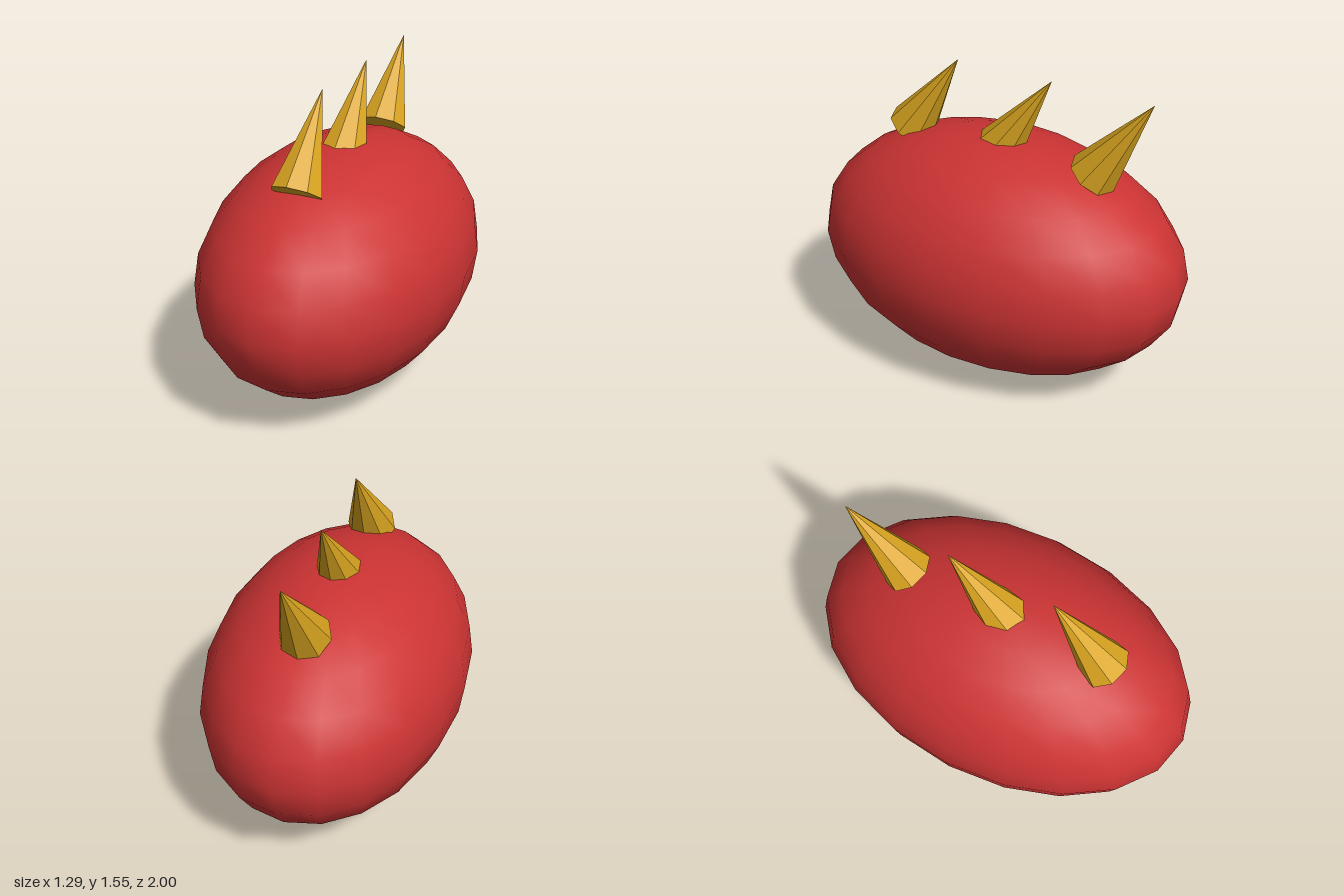
import * as THREE from 'three';

export function createModel() {
  const model = new THREE.Group();
  const red = new THREE.MeshStandardMaterial({ color: 0xcc3333 });
  red.name = 'red skin';
  const gold = new THREE.MeshStandardMaterial({ color: 0xdaa520 });
  gold.name = 'gold';
  const goldFlat = gold.clone();
  goldFlat.name = 'gold spike';
  goldFlat.flatShading = true;

  // Smooth egg shape from a scaled sphere
  const ellipsoid = (name, material, rx, ry, rz, y) => {
    const mesh = new THREE.Mesh(new THREE.SphereGeometry(1, 20, 12), material);
    mesh.name = name;
    mesh.scale.set(rx, ry, rz);
    mesh.position.y = y;
    model.add(mesh);
  };
  ellipsoid('body', red, 0.643, 0.608, 1, 0.614);
  // Belly just breaks through the underside of the body
  ellipsoid('belly', gold, 0.45, 0.4, 0.8, 0.4);

  // Row of back-swept spikes along the spine
  const spikeGeometry = new THREE.ConeGeometry(0.125, 0.5, 8);
  spikeGeometry.translate(0, 0.25, 0);
  ['frontSpike', 'middleSpike', 'rearSpike'].forEach((name, i) => {
    const spike = new THREE.Mesh(spikeGeometry, goldFlat);
    spike.name = name;
    spike.position.set(0, 1.14, 0.52 - i * 0.52);
    spike.rotation.x = -0.61;
    model.add(spike);
  });
  return model;
}
